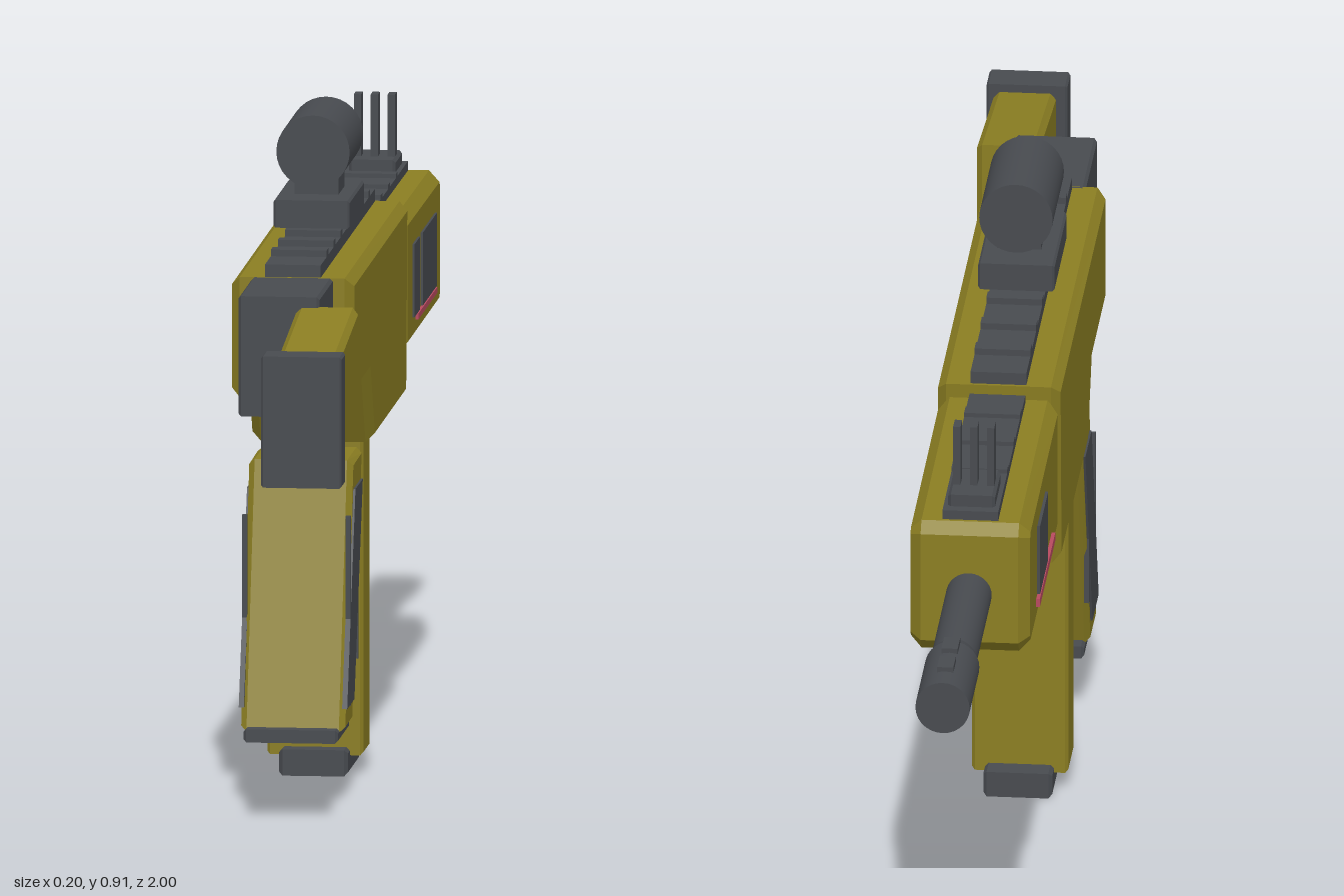
import * as THREE from 'three';

const MID = -0.018; // centre line of the main body in x

export function createModel() {
  const olive = new THREE.MeshStandardMaterial({ color: 0x8b7e22 });
  olive.name = 'olive';
  const grey = new THREE.MeshStandardMaterial({ color: 0x484b50 });
  grey.name = 'darkGrey';
  const pink = new THREE.MeshStandardMaterial({ color: 0xb84a60 });
  pink.name = 'pink';

  const model = new THREE.Group();
  model.name = 'model';

  const add = (name, geometry, material) => {
    const mesh = new THREE.Mesh(geometry, material);
    mesh.name = name;
    model.add(mesh);
    return mesh;
  };

  // Side profile of [z, y] points, extruded across x with a chamfered edge
  const slab = (name, points, x0, x1, material, bevel = 0.01) => {
    const shape = new THREE.Shape(points.map(([z, y]) => new THREE.Vector2(z, y)));
    const geo = new THREE.ExtrudeGeometry(shape, {
      depth: x1 - x0 - 2 * bevel,
      bevelEnabled: bevel > 0,
      bevelThickness: bevel,
      bevelSize: bevel,
      bevelOffset: -bevel,
      bevelSegments: 1,
    });
    geo.rotateY(-Math.PI / 2);
    geo.translate(x1 - bevel, 0, 0);
    return add(name, geo, material);
  };

  // Box given by its limits on each axis
  const box = (name, [x0, x1], [y0, y1], [z0, z1], material) => {
    const mesh = add(name, new THREE.BoxGeometry(x1 - x0, y1 - y0, z1 - z0), material);
    mesh.position.set((x0 + x1) / 2, (y0 + y1) / 2, (z0 + z1) / 2);
    return mesh;
  };
  const rect = (z0, z1, y0, y1) => [[z0, y0], [z1, y0], [z1, y1], [z0, y1]];

  // Receiver and handguard
  slab('receiver', [[0.525, 0.725], [-0.17, 0.725], [-0.155, 0.46], [0.26, 0.46],
    [0.315, 0.56], [0.525, 0.56]], -0.102, 0.065, olive, 0.012);
  slab('handguard', [[-0.165, 0.515], [-0.165, 0.705], [-0.59, 0.703], [-0.605, 0.688],
    [-0.605, 0.532], [-0.59, 0.515]], -0.1, 0.063, olive, 0.015);

  // Rear block, offset stock and butt pad
  slab('rearBlock', rect(0.52, 0.695, 0.56, 0.725), -0.074, 0.037, grey, 0.004);
  slab('stock', [[0.69, 0.563], [0.955, 0.537], [0.955, 0.678], [0.69, 0.711]],
    0.005, 0.09, olive, 0.008);
  slab('buttPad', rect(0.95, 1, 0.51, 0.69), -0.01, 0.1, grey, 0.003);

  // Top rails with cross ridges
  box('receiverRail', [-0.056, 0.02], [0.72, 0.742], [-0.165, 0.52], grey);
  box('handguardRail', [-0.056, 0.02], [0.7, 0.716], [-0.585, -0.18], grey);
  for (let i = 0; i < 7; i++) {
    const z = 0.435 - i * 0.0883;
    box('receiverRidge', [-0.056, 0.02], [0.74, 0.751], [z - 0.011, z + 0.011], grey);
  }
  for (let i = 0; i < 3; i++) {
    const z = -0.25 - i * 0.095;
    box('handguardRidge', [-0.056, 0.02], [0.714, 0.722], [z - 0.011, z + 0.011], grey);
  }

  // Scope on its mount
  box('scopeFoot', [-0.036, 0], [0.74, 0.757], [0.13, 0.235], grey);
  slab('scopeMount', rect(0.09, 0.277, 0.755, 0.793), -0.071, 0.033, grey, 0.003);
  box('scopeNeck', [-0.048, 0.012], [0.79, 0.83], [0.145, 0.22], grey);
  const scope = add('scopeTube', new THREE.CylinderGeometry(0.05, 0.05, 0.17, 32), grey);
  scope.rotation.x = Math.PI / 2;
  scope.position.set(MID, 0.858, 0.181);

  // Front sight: base and three posts
  slab('sightBase', rect(-0.57, -0.48, 0.705, 0.733), -0.05, 0.014, grey, 0.004);
  for (const dx of [-0.023, 0, 0.023]) {
    box('sightPost', [MID + dx - 0.005, MID + dx + 0.005], [0.73, 0.818],
      [-0.535, -0.51], grey);
  }

  // Barrel with a thicker muzzle
  const profile = [[0, 0.58], [0.031, 0.58], [0.031, 0.832], [0.037, 0.855],
    [0.037, 1], [0, 1]];
  const tube = (name, from, to) => {
    const [r0, z0] = profile[from], [r1, z1] = profile[to];
    const capped = r0 !== r1 ? true : false;
    const mesh = add(name, new THREE.CylinderGeometry(r1, r0, z1 - z0, 28, 1, capped), grey);
    mesh.rotation.x = -Math.PI / 2;
    mesh.position.set(MID, 0.602, -(z0 + z1) / 2);
    return mesh;
  };
  tube('barrel', 1, 2);
  tube('muzzleCone', 2, 3);
  tube('muzzle', 3, 4);
  const cap = add('muzzleCap', new THREE.CircleGeometry(0.037, 28), grey);
  cap.rotation.y = Math.PI;
  cap.position.set(MID, 0.602, -1);
  for (const z of [-0.875, -0.94]) {
    box('muzzleVent', [MID - 0.011, MID + 0.011], [0.625, 0.645], [z - 0.02, z + 0.02], grey);
  }

  // Handguard side plates and accent strips
  box('leftFrontPlate', [0.06, 0.066], [0.555, 0.655], [-0.525, -0.345], grey);
  box('leftRearPlate', [0.06, 0.066], [0.555, 0.655], [-0.312, -0.24], grey);
  box('leftStrip', [0.06, 0.067], [0.546, 0.554], [-0.52, -0.28], pink);
  box('rightPlate', [-0.104, -0.097], [0.555, 0.655], [-0.485, -0.365], grey);
  box('rightStrip', [-0.105, -0.097], [0.542, 0.554], [-0.5, -0.27], pink);

  // Magazine with base plate
  slab('magazine', rect(0.14, 0.226, 0.025, 0.47), -0.085, 0.046, olive, 0.004);
  slab('magazineBase', rect(0.108, 0.255, 0, 0.036), -0.066, 0.028, grey, 0.005);

  // Slanted grip with side panels and thin ribs
  slab('grip', [[0.41, 0.458], [0.29, 0.458], [0.412, 0.1], [0.515, 0.1]],
    -0.09, 0.052, olive, 0.008);
  slab('gripBase', rect(0.388, 0.535, 0.088, 0.106), -0.084, 0.045, grey, 0.004);
  const panel = [[0.405, 0.418], [0.312, 0.418], [0.418, 0.132], [0.51, 0.132]];
  for (const [x0, x1] of [[0.048, 0.055], [-0.093, -0.086]]) {
    slab('gripPanel', panel, x0, x1, grey, 0);
    box('rearRib', [x0, x1], [0.13, 0.39], [0.461, 0.467], grey);
    box('frontRib', [x0, x1], [0.18, 0.4], [0.365, 0.371], grey);
  }

  // Trigger and guard
  box('guardFront', [-0.036, 0], [0.33, 0.465], [0.055, 0.07], olive);
  box('guardBottom', [-0.036, 0], [0.324, 0.335], [0.055, 0.295], olive);
  slab('guardGusset', [[0.07, 0.335], [0.1, 0.335], [0.07, 0.36]], -0.03, -0.006, olive, 0);
  slab('trigger', [[0.145, 0.462], [0.12, 0.462], [0.135, 0.42], [0.122, 0.372],
    [0.133, 0.372], [0.155, 0.42]], -0.028, -0.008, grey, 0);

  return model;
}
